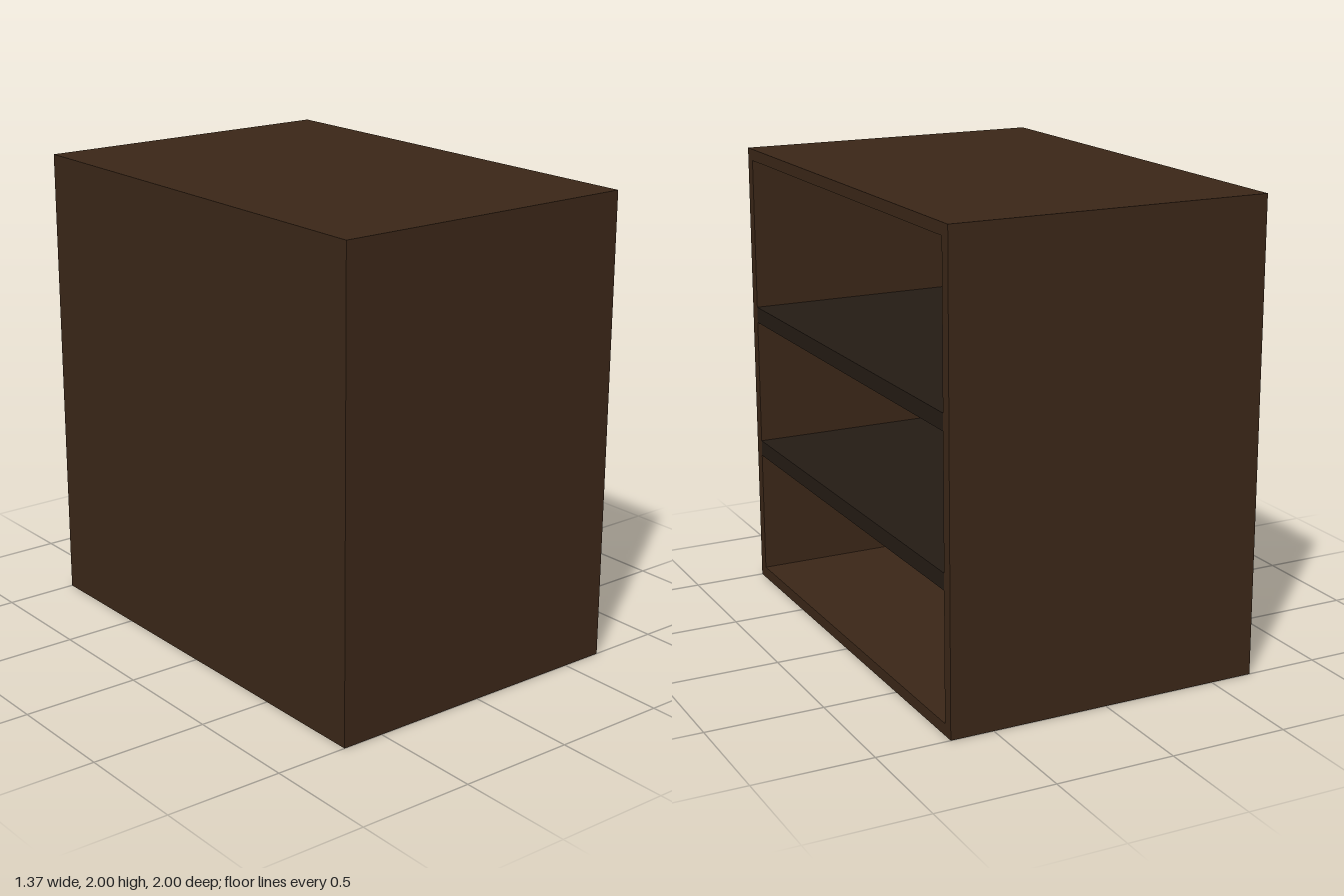
import * as THREE from 'three';

const W = 1.37, H = 2, D = 2, T = 0.05; // overall size and board thickness

export function createModel() {
  const group = new THREE.Group();
  const wood = new THREE.MeshStandardMaterial({ color: 0x3a2617 });
  const darkWood = new THREE.MeshStandardMaterial({ color: 0x241b14 });

  const board = (name, size, position, material = wood) => {
    const mesh = new THREE.Mesh(new THREE.BoxGeometry(...size), material);
    mesh.name = name;
    mesh.position.set(...position);
    group.add(mesh);
  };

  // Carcass, open towards +x
  board('topPanel', [W, T, D], [0, H - T / 2, 0]);
  board('bottomPanel', [W, T, D], [0, T / 2, 0]);
  for (const [name, s] of [['frontSidePanel', 1], ['rearSidePanel', -1]]) {
    board(name, [W, H - 2 * T, T], [0, H / 2, s * (D - T) / 2]);
  }
  board('backPanel', [T, H - 2 * T, D - 2 * T], [(T - W) / 2, H / 2, 0]);

  // Two darker shelves, flush with the opening
  [0.63, 1.255].forEach((y, i) => {
    board(`shelf${i + 1}`, [W - T, 0.07, D - 2 * T], [T / 2, y, 0], darkWood);
  });

  return group;
}
